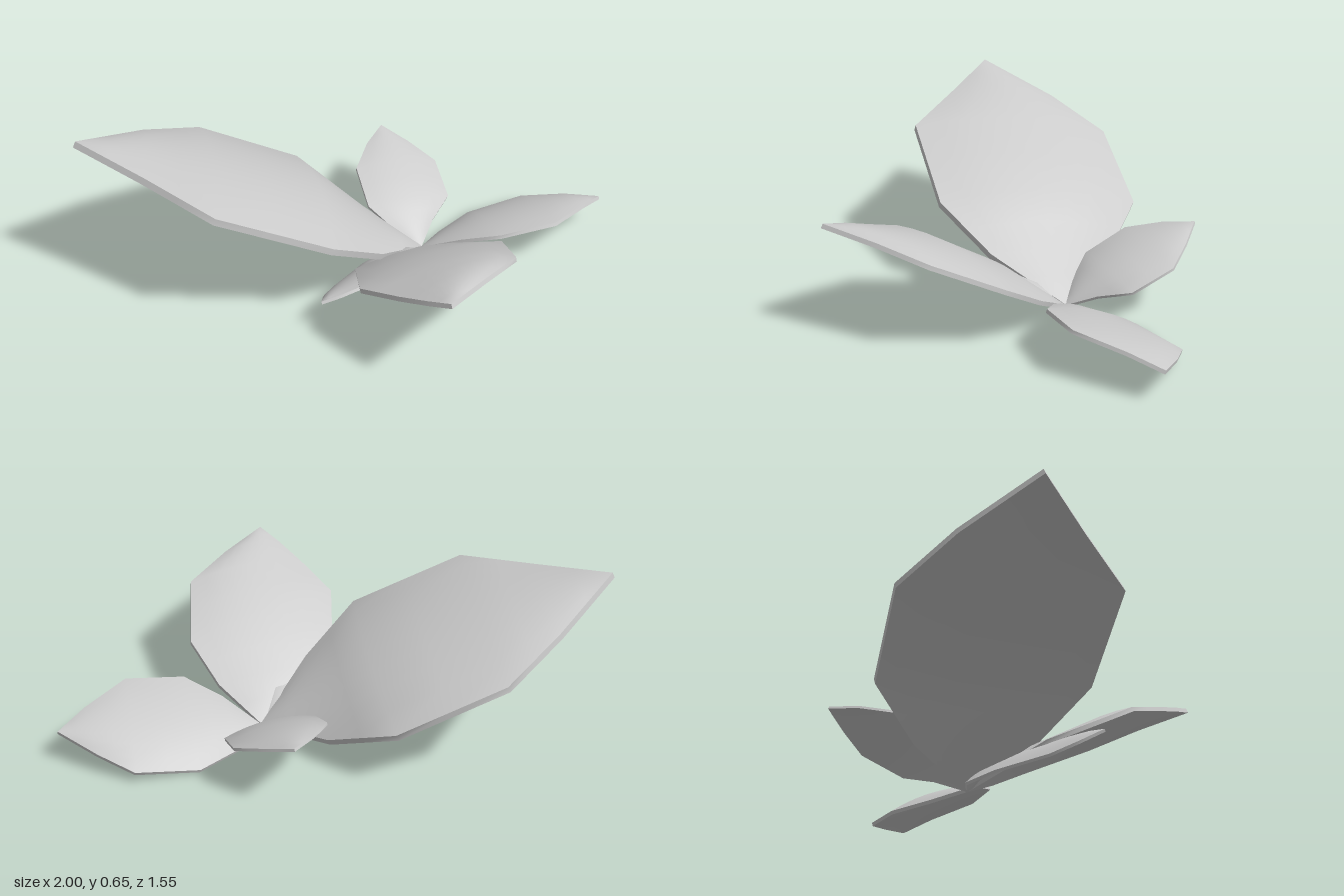
import * as THREE from 'three';
import { toCreasedNormals } from 'three/addons/utils/BufferGeometryUtils.js';

const material = new THREE.MeshStandardMaterial({ color: 0xcccccc, side: THREE.DoubleSide });
const BASE = [0.225, 0.035, -0.05];
const COLUMNS = 8; // steps across a leaf
const STEPS = 2; // rows between outline corners
const DOME = [0, 0.6, 1, 1, 0.65, 0];

// Leaf from paired edge corners, running from the shared base to the tip.
function leafGeometry({ tip, left, right }) {
  const toVectors = (side) => [BASE, ...side, tip].map((p) => new THREE.Vector3(...p));
  const L = toVectors(left), R = toVectors(right);
  const along = L[5].clone().sub(L[0]);
  const length = along.length();
  const normal = along.cross(R[2].clone().sub(L[2])).normalize();

  const positions = [], index = [];
  const rows = (L.length - 1) * STEPS + 1;
  for (let i = 0; i < rows; i++) {
    const k = Math.min(Math.floor(i / STEPS), L.length - 2);
    const f = i / STEPS - k;
    const a = L[k].clone().lerp(L[k + 1], f);
    const b = R[k].clone().lerp(R[k + 1], f);
    const dome = THREE.MathUtils.lerp(DOME[k], DOME[k + 1], f) * length;
    // Domed upper face left to right, then the flatter underside back again
    for (const [rise, edge] of [[0.042, 0.009], [0.014, -0.009]]) {
      for (let j = 0; j <= COLUMNS; j++) {
        const t = edge > 0 ? j / COLUMNS : 1 - j / COLUMNS;
        const u = 2 * t - 1;
        const p = a.clone().lerp(b, t);
        p.addScaledVector(normal, rise * dome * (1 - u * u) + edge * length);
        positions.push(p.x, p.y, p.z);
      }
    }
  }

  const ring = 2 * (COLUMNS + 1);
  for (let i = 0; i < rows - 1; i++) {
    for (let j = 0; j < ring; j++) {
      const a = i * ring + j, b = i * ring + ((j + 1) % ring);
      index.push(a, a + ring, b + ring, a, b + ring, b);
    }
  }
  const geometry = new THREE.BufferGeometry();
  geometry.setAttribute('position', new THREE.Float32BufferAttribute(positions, 3));
  geometry.setIndex(index);
  return toCreasedNormals(geometry, 0.8);
}

const leaves = {
  largeLeaf: {
    tip: [-1, 0.645, -0.57],
    left: [[0.1, 0.11, -0.37], [-0.04, 0.24, -0.63], [-0.41, 0.42, -0.775], [-0.68, 0.53, -0.7]],
    right: [[-0.05, 0.19, 0.1], [-0.3, 0.345, 0.165], [-0.7, 0.53, 0.01], [-0.85, 0.59, -0.29]],
  },
  frontLeaf: {
    tip: [-0.17, 0.45, 0.775],
    left: [[-0.15, 0.14, 0.07], [-0.3, 0.3, 0.37], [-0.25, 0.37, 0.56], [-0.21, 0.415, 0.68]],
    right: [[0.32, 0.14, 0.14], [0.355, 0.25, 0.33], [0.24, 0.375, 0.58], [0.04, 0.42, 0.68]],
  },
  leftLeaf: {
    tip: [0.99, 0.13, 0.13],
    left: [[0.33, 0.12, 0.09], [0.44, 0.175, 0.21], [0.66, 0.195, 0.27], [0.86, 0.165, 0.19]],
    right: [[0.36, 0.012, -0.13], [0.55, 0.012, -0.19], [0.79, 0.045, -0.14], [0.89, 0.085, -0.02]],
  },
  backLeaf: {
    tip: [0.36, 0.295, -0.6],
    left: [[0.33, 0.09, -0.13], [0.45, 0.13, -0.2], [0.49, 0.2, -0.37], [0.43, 0.25, -0.49]],
    right: [[0.16, 0.09, -0.14], [0.1, 0.16, -0.26], [0.14, 0.24, -0.43], [0.25, 0.275, -0.53]],
  },
  lowerLeaf: {
    tip: [-0.36, 0.14, 0.18],
    left: [[0.12, 0.012, -0.12], [-0.03, 0.02, -0.09], [-0.23, 0.045, 0.02], [-0.31, 0.09, 0.1]],
    right: [[0.12, 0.13, 0.06], [-0.03, 0.19, 0.2], [-0.2, 0.18, 0.22], [-0.29, 0.16, 0.205]],
  },
};

export function createModel() {
  const group = new THREE.Group();
  group.name = 'leafCluster';
  for (const [name, shape] of Object.entries(leaves)) {
    const leaf = new THREE.Mesh(leafGeometry(shape), material);
    leaf.name = name;
    group.add(leaf);
  }
  return group;
}
